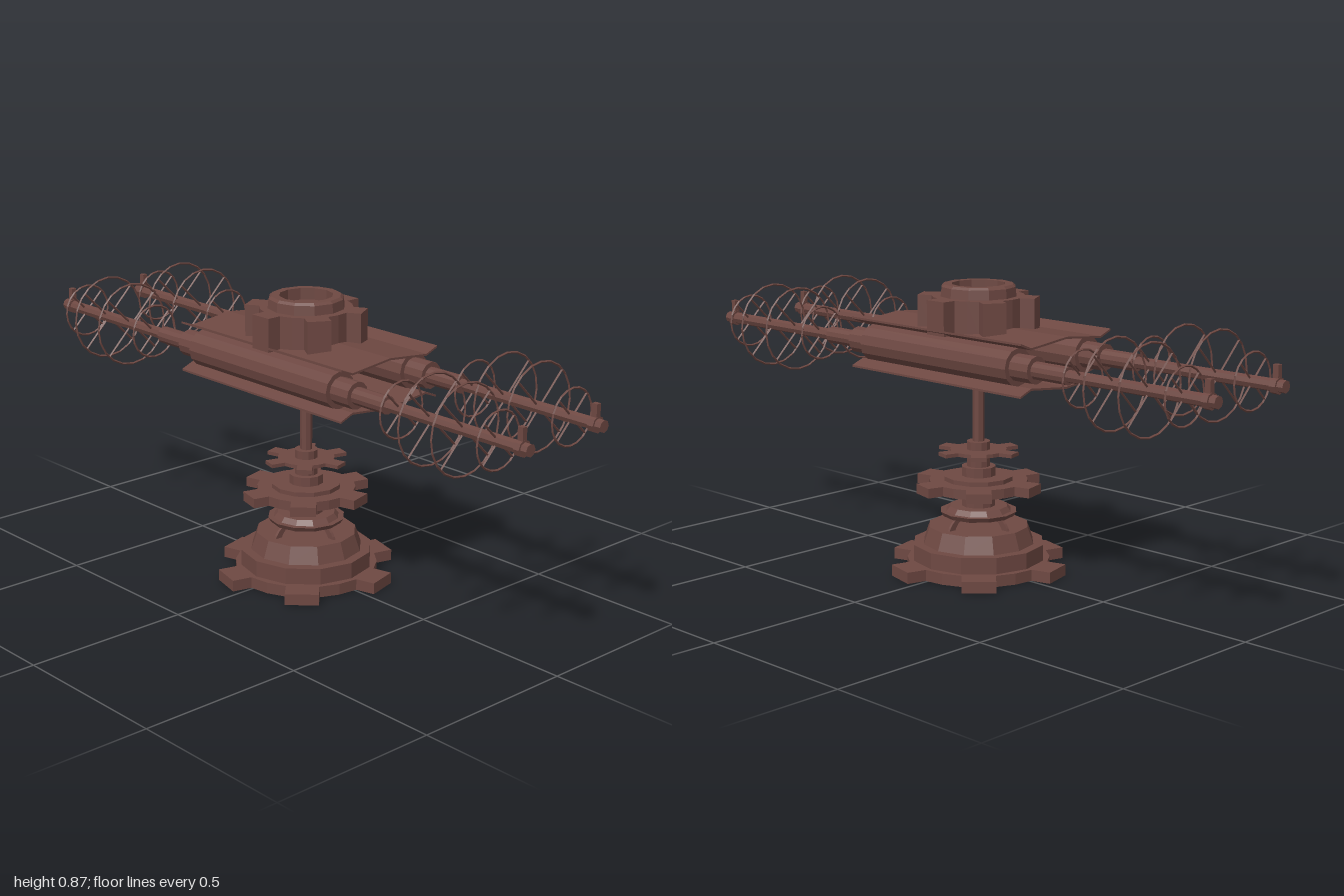
import * as THREE from 'three';

const material = new THREE.MeshStandardMaterial({ color: 0x6e4842, flatShading: true });
const AXIS_Y = 0.672; // height of the antenna arms
const AXIS_X = 0.145; // sideways offset of the antenna arms

function add(parent, name, geometry, x = 0, y = 0, z = 0) {
  const mesh = new THREE.Mesh(geometry, material);
  mesh.name = name;
  mesh.position.set(x, y, z);
  parent.add(mesh);
  return mesh;
}

// Upright drum between two heights
function drum(parent, name, y0, y1, rBottom, rTop = rBottom, sides = 12) {
  return add(parent, name, new THREE.CylinderGeometry(rTop, rBottom, y1 - y0, sides), 0, (y0 + y1) / 2);
}

// Flat gear with square teeth, lying on its side at height y0
function gear(parent, name, y0, y1, rBody, rTip, toothWidth, phase) {
  const shape = new THREE.Shape();
  const half = toothWidth / 2;
  const root = Math.sqrt(rBody * rBody - half * half);
  const points = [];
  for (let i = 0; i < 6; i++) {
    const a = phase + i * Math.PI / 3;
    const c = Math.cos(a), s = Math.sin(a);
    for (const [u, v] of [[root, -half], [rTip, -half], [rTip, half], [root, half]]) {
      points.push(new THREE.Vector2(u * c - v * s, u * s + v * c));
    }
    const m = a + Math.PI / 6;
    points.push(new THREE.Vector2(rBody * Math.cos(m), rBody * Math.sin(m)));
  }
  shape.setFromPoints(points);
  const geometry = new THREE.ExtrudeGeometry(shape, { depth: y1 - y0, bevelEnabled: false });
  geometry.rotateX(-Math.PI / 2);
  return add(parent, name, geometry, 0, y0);
}

// Creased sheet running front to back; dir = -1 for the lower one, 1 for the upper
function creasedPlate(parent, name, dir) {
  const profile = [[-0.188, 0.077], [-AXIS_X, 0.06], [0, 0.075], [AXIS_X, 0.06], [0.188, 0.077]];
  const t = 0.006;
  const outline = [
    ...profile.map(([x, y]) => new THREE.Vector2(x, dir * y)),
    ...profile.slice().reverse().map(([x, y]) => new THREE.Vector2(x, dir * (y - t))),
  ];
  const geometry = new THREE.ExtrudeGeometry(new THREE.Shape(outline), { depth: 0.7, bevelEnabled: false });
  add(parent, name, geometry, 0, AXIS_Y, -0.35);
}

// Cylinder lying along z
function rod(parent, name, radius, z0, z1, sides = 12) {
  const geometry = new THREE.CylinderGeometry(radius, radius, z1 - z0, sides);
  geometry.rotateX(Math.PI / 2);
  return add(parent, name, geometry, 0, 0, (z0 + z1) / 2);
}

// Hoop with four diagonal spokes
function hoop(parent, z, radius) {
  const group = new THREE.Group();
  group.name = 'hoop';
  group.position.z = z;
  add(group, 'hoopRing', new THREE.TorusGeometry(radius - 0.003, 0.0035, 4, 20));
  for (let i = 0; i < 4; i++) {
    const a = Math.PI / 4 + i * Math.PI / 2;
    const spoke = add(group, 'hoopSpoke', new THREE.CylinderGeometry(0.0035, 0.0035, radius - 0.01, 4),
      Math.cos(a) * radius / 2, Math.sin(a) * radius / 2);
    spoke.rotation.z = a - Math.PI / 2;
  }
  parent.add(group);
}

// One end of an antenna, pointing towards +z
function antennaEnd(name) {
  const group = new THREE.Group();
  group.name = name;
  rod(group, 'antennaShoulder', 0.04, 0.29, 0.37);
  rod(group, 'antennaSleeve', 0.026, 0.36, 0.49);
  rod(group, 'antennaRod', 0.018, 0.48, 1, 8);
  rod(group, 'antennaCollar', 0.024, 0.96, 0.98, 8);
  add(group, 'antennaPost', new THREE.BoxGeometry(0.016, 0.055, 0.018), 0, 0.03, 0.97);
  for (const [z, radius] of [[0.54, 0.084], [0.655, 0.131], [0.775, 0.131], [0.89, 0.084]]) hoop(group, z, radius);
  return group;
}

export function createModel() {
  const model = new THREE.Group();
  model.name = 'antennaTower';
  const phase = -Math.PI / 12;

  // Base
  const base = new THREE.Group();
  base.name = 'base';
  model.add(base);
  gear(base, 'baseGear', 0, 0.034, 0.215, 0.27, 0.1, phase);
  drum(base, 'baseDrum', 0.034, 0.083, 0.2);
  drum(base, 'baseCone', 0.083, 0.135, 0.17, 0.152);

  // Four thin curved ribs carrying the column
  const rib = new THREE.Shape();
  rib.moveTo(0.128, 0.13);
  rib.quadraticCurveTo(0.118, 0.158, 0.088, 0.172);
  rib.lineTo(0.062, 0.172);
  rib.quadraticCurveTo(0.095, 0.155, 0.104, 0.13);
  const ribGeometry = new THREE.ExtrudeGeometry(rib, { depth: 0.008, bevelEnabled: false, curveSegments: 4 });
  ribGeometry.translate(0, 0, -0.004);
  for (let i = 0; i < 4; i++) add(base, 'supportRib', ribGeometry).rotation.y = i * Math.PI / 2;

  // Column of stacked discs and gears
  const column = new THREE.Group();
  column.name = 'column';
  model.add(column);
  drum(column, 'lowerFlange', 0.166, 0.18, 0.108, 0.117);
  drum(column, 'upperFlange', 0.18, 0.195, 0.1, 0.088);
  drum(column, 'neck', 0.195, 0.226, 0.051);
  drum(column, 'neckCollar', 0.226, 0.246, 0.07);
  gear(column, 'middleGear', 0.246, 0.275, 0.148, 0.192, 0.075, phase);
  drum(column, 'middleDisc', 0.275, 0.288, 0.105);
  drum(column, 'middleHub', 0.288, 0.316, 0.052);
  drum(column, 'upperHub', 0.316, 0.392, 0.035);
  gear(column, 'thinGear', 0.356, 0.367, 0.085, 0.125, 0.045, phase);
  drum(column, 'pole', 0.385, 0.6, 0.018, 0.018, 8);

  // Creased plates holding the antennas
  creasedPlate(model, 'lowerPlate', -1);
  creasedPlate(model, 'upperPlate', 1);

  // Two antennas, each with a thick barrel and two matching ends
  for (const side of [-1, 1]) {
    const antenna = new THREE.Group();
    antenna.name = side > 0 ? 'leftAntenna' : 'rightAntenna';
    antenna.position.set(side * AXIS_X, AXIS_Y, 0);
    rod(antenna, 'antennaBarrel', 0.055, -0.3, 0.3);
    const back = antennaEnd('antennaBackEnd');
    back.rotation.y = Math.PI;
    antenna.add(antennaEnd('antennaFrontEnd'), back);
    model.add(antenna);
  }

  // Top gear with a raised open ring
  const top = new THREE.Group();
  top.name = 'topGear';
  model.add(top);
  gear(top, 'topGearBody', 0.73, 0.83, 0.138, 0.177, 0.07, 0);
  const ringProfile = [[0.08, 0.83], [0.115, 0.83], [0.112, 0.858], [0.104, 0.865], [0.08, 0.865], [0.08, 0.83]]
    .map(([r, y]) => new THREE.Vector2(r, y));
  add(top, 'topRing', new THREE.LatheGeometry(ringProfile, 12));

  return model;
}
